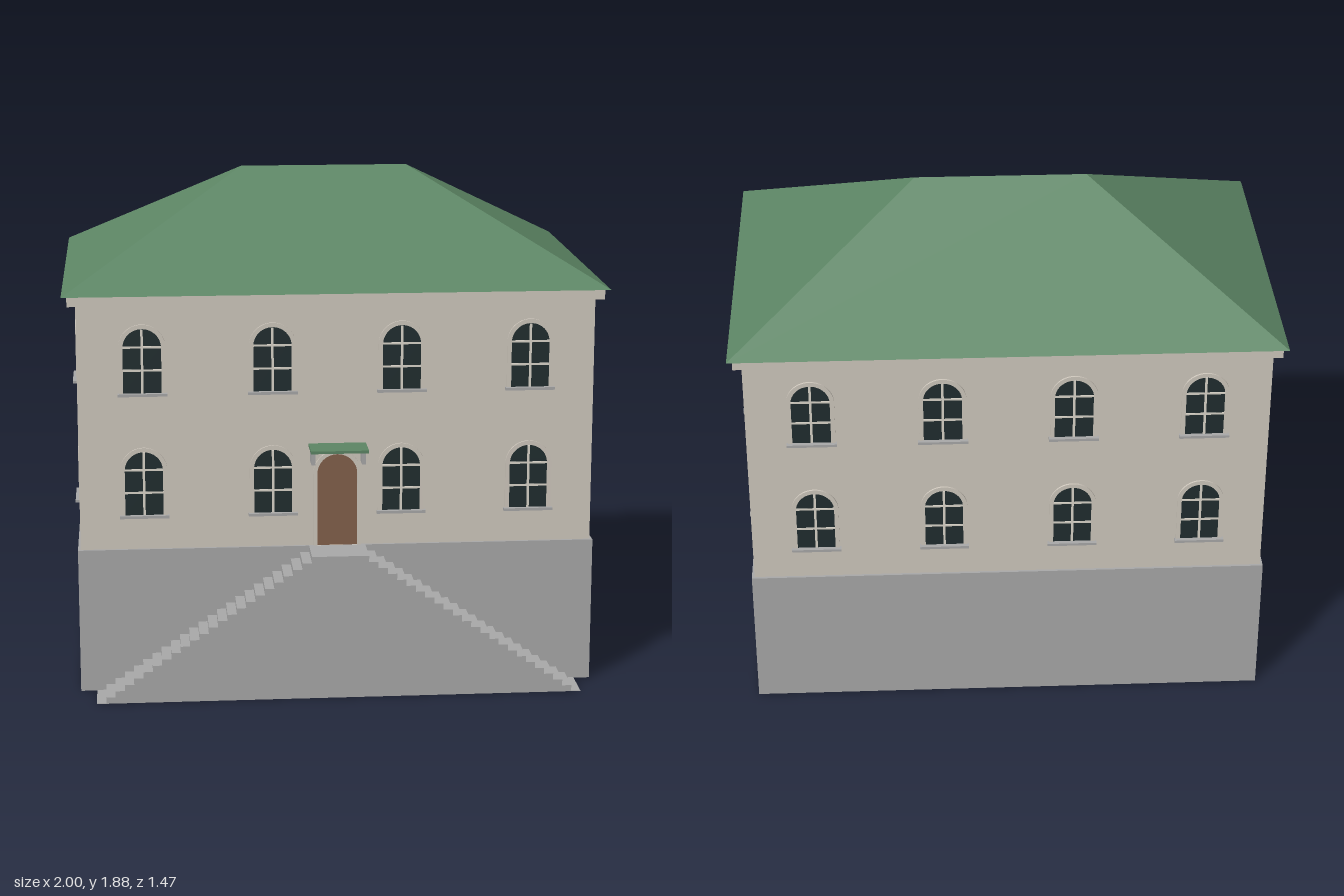
import * as THREE from 'three';

const mat = (name, color, side = THREE.FrontSide) => {
  const m = new THREE.MeshStandardMaterial({ color, side });
  m.name = name;
  return m;
};

export function createModel() {
  const wallPaint = mat('wallPaint', 0xd0c9be);
  const stone = mat('stone', 0xa9a9a9, THREE.DoubleSide);
  const roofGreen = mat('roofGreen', 0x5c8564);
  const glass = mat('glass', 0x202d2f);
  const barPaint = mat('barPaint', 0xdcd7cc);
  const doorWood = mat('doorWood', 0x83604b);

  const house = new THREE.Group();
  house.name = 'house';
  const ZC = -0.055;       // centre of the building in depth
  const BASE = 0.545;      // top of the stone base
  const FRONT = 0.58;      // front wall plane

  const add = (parent, name, geo, material, x = 0, y = 0, z = 0) => {
    const m = new THREE.Mesh(geo, material);
    m.name = name;
    m.position.set(x, y, z);
    parent.add(m);
    return m;
  };
  const box = (parent, name, w, h, d, material, x, y, z) =>
    add(parent, name, new THREE.BoxGeometry(w, h, d), material, x, y, z);

  // Round-headed outline standing on y = 0
  const arch = (Type, r, h) => {
    const s = new Type();
    s.moveTo(-r, 0);
    s.lineTo(r, 0);
    s.lineTo(r, h - r);
    s.absarc(0, h - r, r, 0, Math.PI, false);
    s.closePath();
    return s;
  };
  const extrude = (shape, depth) =>
    new THREE.ExtrudeGeometry(shape, { depth, bevelEnabled: false, curveSegments: 12 });
  const archRing = (r, h, t, depth) => {
    const s = arch(THREE.Shape, r + t, h + t);
    s.holes.push(arch(THREE.Path, r, h));
    return extrude(s, depth);
  };

  // Stone base, open underneath
  const baseGeo = new THREE.BoxGeometry(1.92, BASE, 1.29);
  const idx = Array.from(baseGeo.index.array);
  baseGeo.setIndex([...idx.slice(0, 18), ...idx.slice(24)]);
  baseGeo.clearGroups();
  add(house, 'base', baseGeo, stone, 0, BASE / 2, ZC);

  // Walls and cornice
  box(house, 'walls', 1.9, 0.93, 1.27, wallPaint, 0, BASE + 0.465, ZC);
  box(house, 'cornice', 1.96, 0.037, 1.33, wallPaint, 0, 1.4815, ZC);

  // Hipped roof
  const e = 1.5, f = 0.625, b = -0.735;
  const A = [-1, e, f], B = [1, e, f], C = [1, e, b], D = [-1, e, b];
  const E = [-0.318, 1.88, ZC], F = [0.318, 1.88, ZC];
  const roofGeo = new THREE.BufferGeometry();
  roofGeo.setAttribute('position', new THREE.Float32BufferAttribute(
    [A, B, F, A, F, E, B, C, F, C, D, E, C, E, F, D, A, E, A, D, C, A, C, B].flat(), 3));
  roofGeo.computeVertexNormals();
  add(house, 'roof', roofGeo, roofGreen);

  // Arched window: pane, surround, glazing bars and sill
  const paneGeo = extrude(arch(THREE.Shape, 0.07, 0.24), 0.003);
  const surroundGeo = archRing(0.07, 0.24, 0.016, 0.007);
  const makeWindow = (x, y, z, turn) => {
    const w = new THREE.Group();
    w.name = 'window';
    add(w, 'pane', paneGeo, glass);
    add(w, 'surround', surroundGeo, wallPaint);
    box(w, 'uprightBar', 0.009, 0.238, 0.005, barPaint, 0, 0.119, 0.003);
    for (const h of [0.086, 0.172])
      box(w, 'crossBar', 0.14, 0.008, 0.005, barPaint, 0, h, 0.003);
    box(w, 'sill', 0.182, 0.01, 0.02, stone, 0, -0.004, 0.01);
    w.position.set(x, y, z);
    w.rotation.y = turn;
    house.add(w);
  };
  for (const y of [0.674, 1.134]) {
    for (const x of [-0.7125, -0.2375, 0.2375, 0.7125]) {
      makeWindow(x, y, FRONT, 0);
      makeWindow(x, y, ZC - 0.635, Math.PI);
    }
    for (const dz of [-0.3175, 0.3175]) {
      makeWindow(0.95, y, ZC + dz, Math.PI / 2);
      makeWindow(-0.95, y, ZC + dz, -Math.PI / 2);
    }
  }

  // Front door with surround
  add(house, 'door', extrude(arch(THREE.Shape, 0.074, 0.348), 0.004), doorWood, 0, BASE, FRONT);
  add(house, 'doorSurround', archRing(0.074, 0.348, 0.015, 0.008), wallPaint, 0, BASE, FRONT);

  // Canopy on two brackets
  box(house, 'canopy', 0.212, 0.01, 0.125, roofGreen, 0, 0.929, FRONT + 0.0625);
  for (const s of [-1, 1])
    box(house, 'canopyBracket', 0.014, 0.057, 0.065, stone, s * 0.093, 0.8955, FRONT + 0.0325);

  // Twin stairs climbing to the landing
  const N = 23, X0 = 0.9, X1 = 0.105, z0 = 0.59, depth = 0.148;
  const run = (X0 - X1) / N, rise = BASE / N;
  for (const s of [-1, 1]) {
    const profile = new THREE.Shape();
    profile.moveTo(s * X1, 0);
    profile.lineTo(s * X0, 0);
    for (let i = 0; i < N; i++) {
      const h = Math.max(i * rise, 0.002);
      profile.lineTo(s * (X0 - i * run), h);
      profile.lineTo(s * (X0 - (i + 1) * run), h);
    }
    profile.closePath();
    add(house, 'stairs', extrude(profile, depth), stone, 0, 0, z0);
  }

  // Landing, hollow below
  const top = new THREE.PlaneGeometry(2 * X1, depth);
  top.rotateX(-Math.PI / 2);
  add(house, 'landingTop', top, stone, 0, BASE, z0 + depth / 2);
  add(house, 'landingFront', new THREE.PlaneGeometry(2 * X1, BASE), stone, 0, BASE / 2, z0 + depth);
  for (const s of [-1, 1]) {
    const cheek = new THREE.PlaneGeometry(depth, rise);
    cheek.rotateY(s * Math.PI / 2);
    add(house, 'landingCheek', cheek, stone, s * X1, BASE - rise / 2, z0 + depth / 2);
  }

  return house;
}
